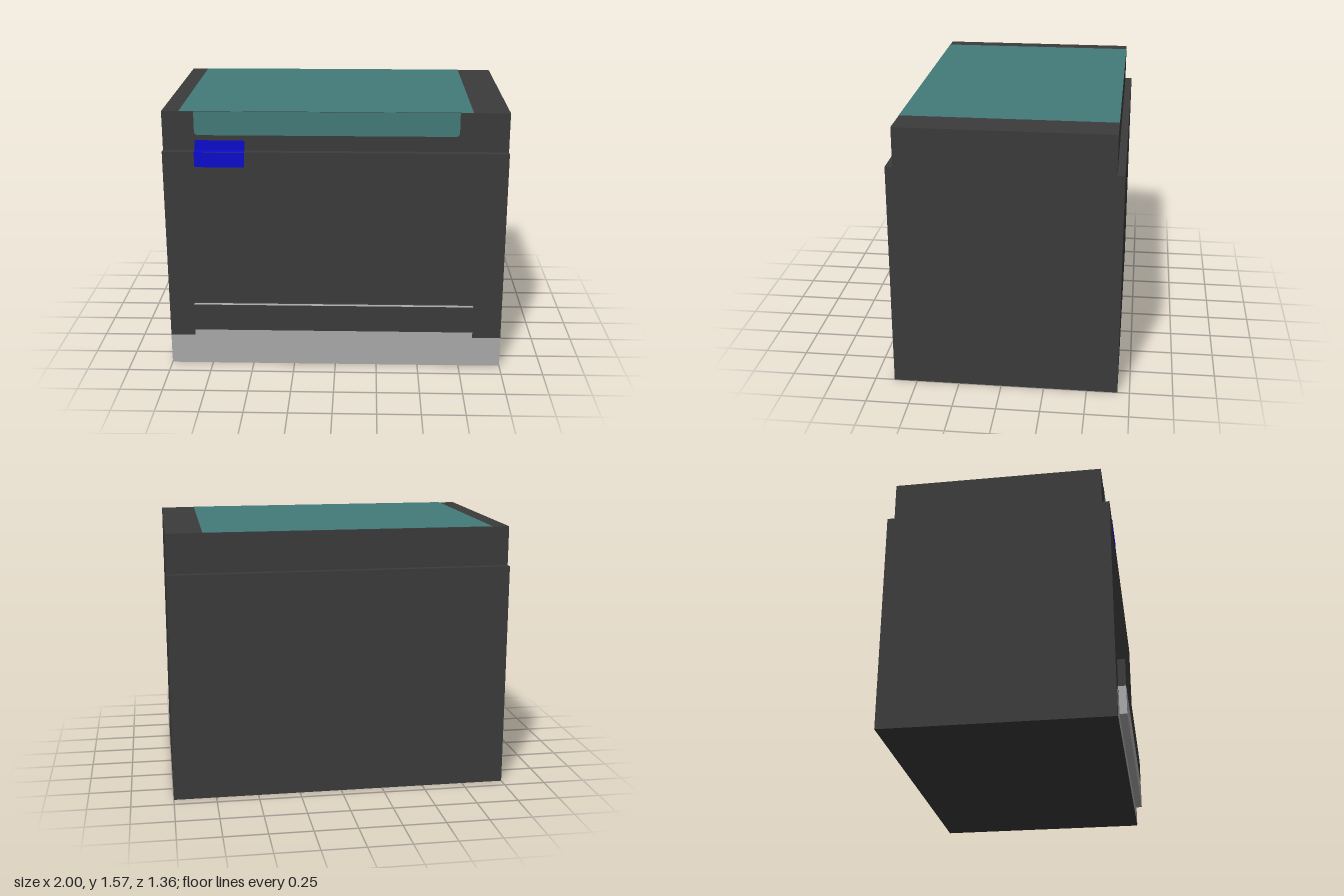
import * as THREE from 'three';

const mat = (name, color) => {
  const m = new THREE.MeshStandardMaterial({ color });
  m.name = name;
  return m;
};

export function createModel() {
  const group = new THREE.Group();
  const charcoal = mat('charcoal', 0x3b3b3b);
  const grey = mat('light grey', 0xa9a9a9);
  const teal = mat('teal', 0x427b79);
  const blue = mat('blue', 0x0c0ccd);
  const LIFT = 0.002; // how far painted faces stand off the casing

  const add = (name, geometry, material) => {
    const mesh = new THREE.Mesh(geometry, material);
    mesh.name = name;
    group.add(mesh);
    return mesh;
  };

  // Box given by its limits
  const box = (name, material, x0, x1, y0, y1, z0, z1) =>
    add(name, new THREE.BoxGeometry(x1 - x0, y1 - y0, z1 - z0)
      .translate((x0 + x1) / 2, (y0 + y1) / 2, (z0 + z1) / 2), material);

  // Painted face towards +z, with optional rounded bottom and top corners
  const frontFace = (name, material, x0, x1, y0, y1, z, rb = 0, rt = 0) => {
    const s = new THREE.Shape();
    s.moveTo(x0 + rb, y0);
    s.lineTo(x1 - rb, y0);
    if (rb) s.quadraticCurveTo(x1, y0, x1, y0 + rb);
    s.lineTo(x1, y1 - rt);
    if (rt) s.quadraticCurveTo(x1, y1, x1 - rt, y1);
    s.lineTo(x0 + rt, y1);
    if (rt) s.quadraticCurveTo(x0, y1, x0, y1 - rt);
    s.lineTo(x0, y0 + rb);
    if (rb) s.quadraticCurveTo(x0, y0, x0 + rb, y0);
    return add(name, new THREE.ShapeGeometry(s, 6).translate(0, 0, z + LIFT), material);
  };

  // Painted face towards +y
  const topFace = (name, material, x0, x1, z0, z1, y) =>
    add(name, new THREE.PlaneGeometry(x1 - x0, z1 - z0).rotateX(-Math.PI / 2)
      .translate((x0 + x1) / 2, y + LIFT, (z0 + z1) / 2), material);

  // Casing: stepped side profile (z, y) swept across the width
  const profile = new THREE.Shape([
    [-0.68, 0], [0.636, 0], [0.636, 1.34], [0.593, 1.34],
    [0.593, 1.57], [-0.637, 1.57], [-0.637, 1.34], [-0.68, 1.34],
  ].map(([z, y]) => new THREE.Vector2(z, y)));
  add('casing', new THREE.ExtrudeGeometry(profile, { depth: 2, bevelEnabled: false })
    .rotateY(-Math.PI / 2).translate(1, 0, 0), charcoal);

  // Teal panel on the lid and its front lip
  topFace('lidPanel', teal, -0.9, 0.79, -0.637, 0.593, 1.57);
  frontFace('lidLip', teal, -0.815, 0.715, 1.43, 1.57, 0.593, 0.025, 0);

  // Blue label folded over the front step
  frontFace('labelUpper', blue, -0.815, -0.525, 1.34, 1.4, 0.593, 0, 0.012);
  topFace('labelStep', blue, -0.815, -0.525, 0.593, 0.636 + LIFT, 1.34);
  frontFace('labelLower', blue, -0.815, -0.525, 1.25, 1.34, 0.636, 0.012, 0);

  // Grey band along the foot of the front
  frontFace('footBand', grey, -1, 1, 0, 0.185, 0.636);

  // Raised two-tone front bar
  box('barLower', grey, -0.845, 0.825, 0.075, 0.24, 0.636, 0.68);
  box('barUpper', charcoal, -0.845, 0.825, 0.24, 0.402, 0.636, 0.68);
  topFace('barTopEdge', grey, -0.845, 0.825, 0.656, 0.68, 0.402);

  return group;
}
